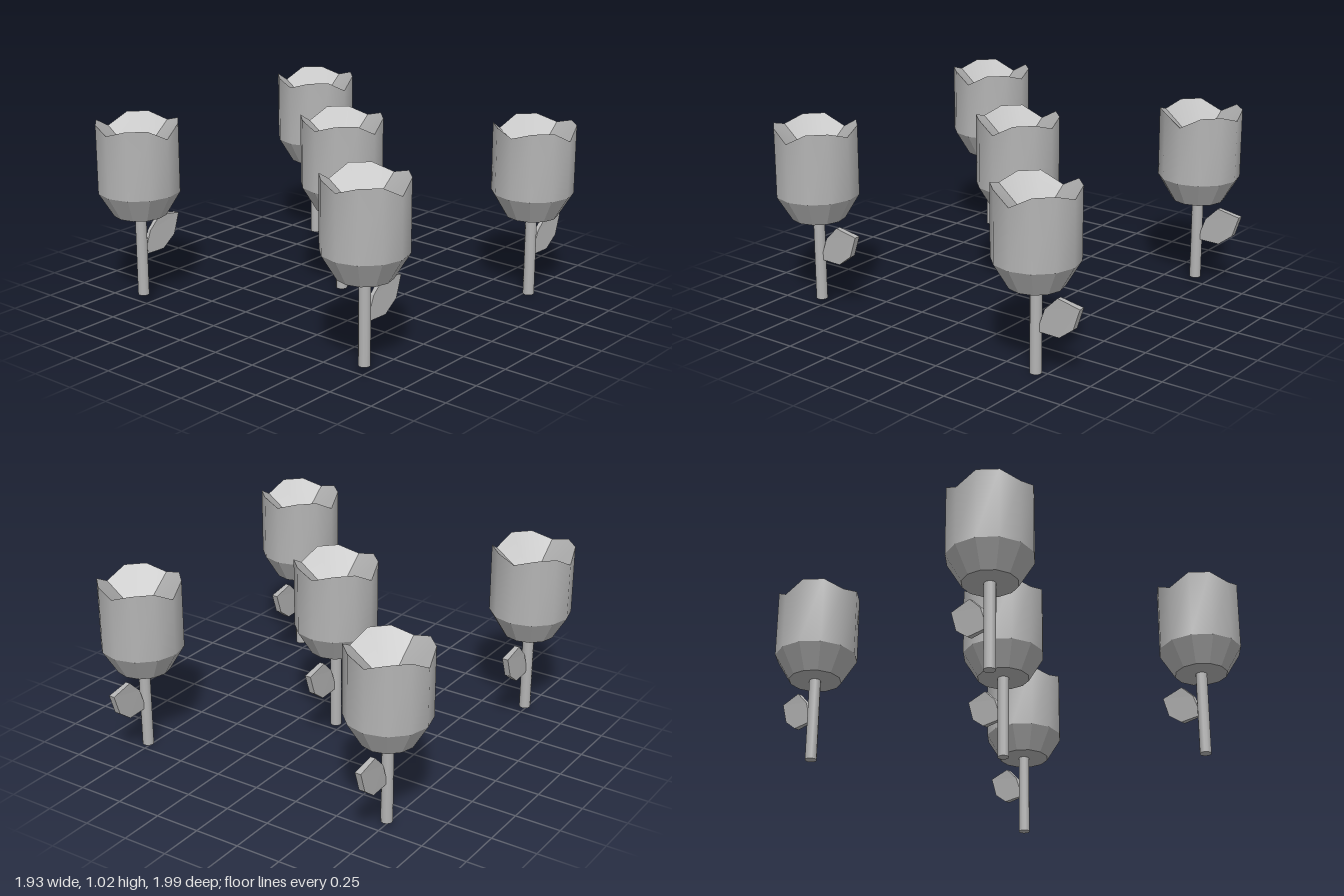
import * as THREE from 'three';
import { toCreasedNormals } from 'three/addons/utils/BufferGeometryUtils.js';

const SIDES = 12, RADIUS = 0.223, BASE_RADIUS = 0.142;
const BASE_Y = 0.51, SHOULDER_Y = 0.645, FUNNEL_Y = 0.8;

const grey = new THREE.MeshStandardMaterial({ color: 0xb4b4b4 });
grey.name = 'grey';

// Four petals: the rim dips where neighbouring petals meet
function rimHeight(i) {
  if (i % 3 !== 0) return 1.02;
  return i % 6 === 0 ? 0.985 : 0.96;
}

function ringPoint(i, radius, y) {
  const a = (i / SIDES) * Math.PI * 2;
  return [Math.cos(a) * radius, y, -Math.sin(a) * radius];
}

// Loose triangles, smoothed only across gentle edges
function faces(points, crease) {
  const geo = new THREE.BufferGeometry();
  geo.setAttribute('position', new THREE.Float32BufferAttribute(points.flat(), 3));
  geo.computeVertexNormals();
  return crease ? toCreasedNormals(geo, crease) : geo;
}

function quad(a, b, c, d) {
  return [a, b, c, a, c, d];
}

function bloomParts() {
  const wall = [], cup = [], funnel = [];
  for (let i = 0; i < SIDES; i++) {
    const j = i + 1;
    const low0 = ringPoint(i, BASE_RADIUS, BASE_Y), low1 = ringPoint(j, BASE_RADIUS, BASE_Y);
    const mid0 = ringPoint(i, RADIUS, SHOULDER_Y), mid1 = ringPoint(j, RADIUS, SHOULDER_Y);
    const top0 = ringPoint(i, RADIUS, rimHeight(i)), top1 = ringPoint(j, RADIUS, rimHeight(j));
    wall.push(...quad(mid0, mid1, top1, top0));
    cup.push(...quad(low0, low1, mid1, mid0), low1, low0, [0, BASE_Y, 0]);
    funnel.push(top0, top1, [0, FUNNEL_Y, 0]);
  }
  return { petalWall: faces(wall, 0.6), cup: faces(cup), petalInside: faces(funnel, 0.5) };
}

// Flat leaf, thinner towards the stem
function leafGeometry() {
  const outline = [
    [0.01, 0.274], [0.148, 0.274], [0.23, 0.336], [0.268, 0.45],
    [0.135, 0.475], [0.058, 0.4], [0.025, 0.31],
  ].map(([x, y]) => new THREE.Vector2(x, y));
  const geo = new THREE.ExtrudeGeometry(new THREE.Shape(outline), { depth: 0.034, bevelEnabled: false });
  geo.translate(0, 0, -0.017);
  const p = geo.attributes.position;
  for (let i = 0; i < p.count; i++) {
    p.setZ(i, p.getZ(i) * Math.min(1, 0.45 + p.getX(i) * 2.6));
  }
  geo.computeVertexNormals();
  return geo;
}

export function createModel() {
  const model = new THREE.Group();
  model.name = 'tulips';

  const stem = new THREE.CylinderGeometry(0.031, 0.031, 0.46, SIDES);
  stem.translate(0, 0.28, 0);
  const parts = { ...bloomParts(), stem, leaf: leafGeometry() };

  // Five flowers, some set a little lower
  const places = [
    [0.014, 0, -0.005],
    [-0.745, 0, -0.775],
    [0.693, -0.017, -0.762],
    [-0.738, 0, 0.751],
    [0.693, -0.05, 0.772],
  ];
  for (const place of places) {
    const flower = new THREE.Group();
    flower.name = 'flower';
    for (const [name, geo] of Object.entries(parts)) {
      const mesh = new THREE.Mesh(geo, grey);
      mesh.name = name;
      flower.add(mesh);
    }
    flower.position.set(...place);
    model.add(flower);
  }
  return model;
}
